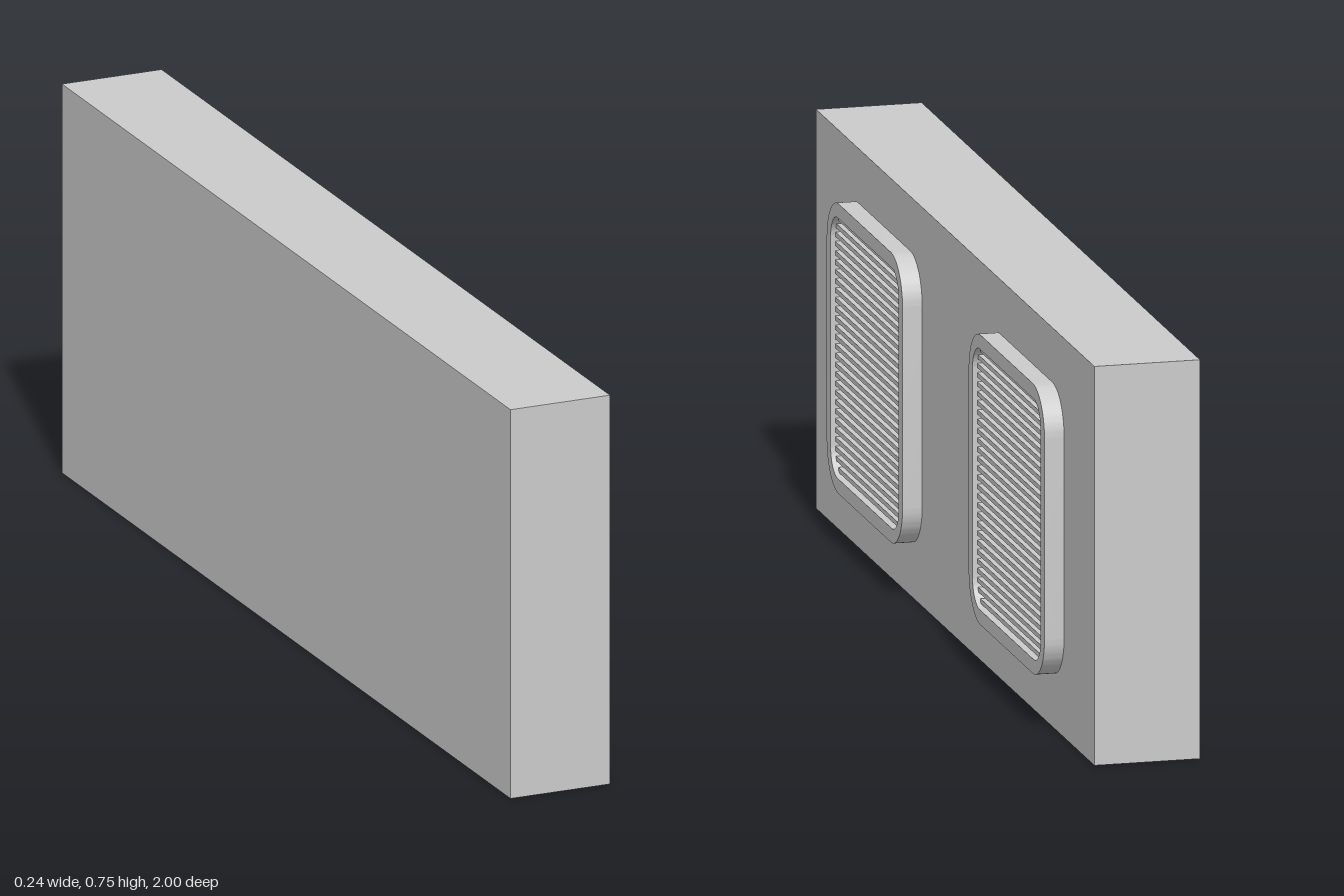
import * as THREE from 'three';
import { toCreasedNormals } from 'three/addons/utils/BufferGeometryUtils.js';

const FACE_X = 0.081, FRONT_X = 0.118, CENTRE_Y = 0.375;
const OUTER = 0.2725, OUTER_R = 0.085, INNER = 0.245, INNER_R = 0.05;
const SLATS = 28;

// Square outline with rounded corners, centred on the origin
function roundedSquare(path, h, r) {
  const c = h - r;
  path.moveTo(h, -c);
  path.lineTo(h, c);
  path.absarc(c, c, r, 0, Math.PI / 2);
  path.absarc(-c, c, r, Math.PI / 2, Math.PI);
  path.absarc(-c, -c, r, Math.PI, Math.PI * 1.5);
  path.absarc(c, -c, r, Math.PI * 1.5, Math.PI * 2);
  return path;
}

// Half width of the rounded opening at height y
function openingHalfWidth(y) {
  const c = INNER - INNER_R, d = Math.max(0, Math.abs(y) - c);
  return c + Math.sqrt(Math.max(0, INNER_R * INNER_R - d * d));
}

function createVent(material) {
  const vent = new THREE.Group();

  // Raised rim
  const shape = roundedSquare(new THREE.Shape(), OUTER, OUTER_R);
  shape.holes.push(roundedSquare(new THREE.Path(), INNER, INNER_R));
  const rimGeometry = new THREE.ExtrudeGeometry(shape, {
    depth: FRONT_X - FACE_X, bevelEnabled: false, curveSegments: 12,
  });
  rimGeometry.rotateY(Math.PI / 2);
  const rim = new THREE.Mesh(toCreasedNormals(rimGeometry, 0.6), material);
  rim.name = 'ventRim';
  vent.add(rim);

  // Horizontal slats, trimmed to the rounded opening
  const slats = new THREE.Group();
  slats.name = 'ventSlats';
  const pitch = (2 * INNER) / SLATS, depth = 0.028;
  for (let i = 0; i < SLATS; i++) {
    const y = -INNER + (i + 0.5) * pitch;
    const slat = new THREE.Mesh(
      new THREE.BoxGeometry(depth, pitch * 0.5, 2 * openingHalfWidth(y)), material);
    slat.position.set(depth / 2, y, 0);
    slat.name = 'slat';
    slats.add(slat);
  }
  vent.add(slats);
  return vent;
}

export function createModel() {
  const model = new THREE.Group();
  const material = new THREE.MeshStandardMaterial({ color: 0xcccccc });

  // Slab body
  const body = new THREE.Mesh(new THREE.BoxGeometry(FACE_X + FRONT_X, 0.75, 2), material);
  body.position.set((FACE_X - FRONT_X) / 2, CENTRE_Y, 0);
  body.name = 'body';
  model.add(body);

  // Two vents on the left face
  for (const side of [1, -1]) {
    const vent = createVent(material);
    vent.position.set(FACE_X, CENTRE_Y, side * 0.51);
    vent.name = side > 0 ? 'frontVent' : 'backVent';
    model.add(vent);
  }
  return model;
}
